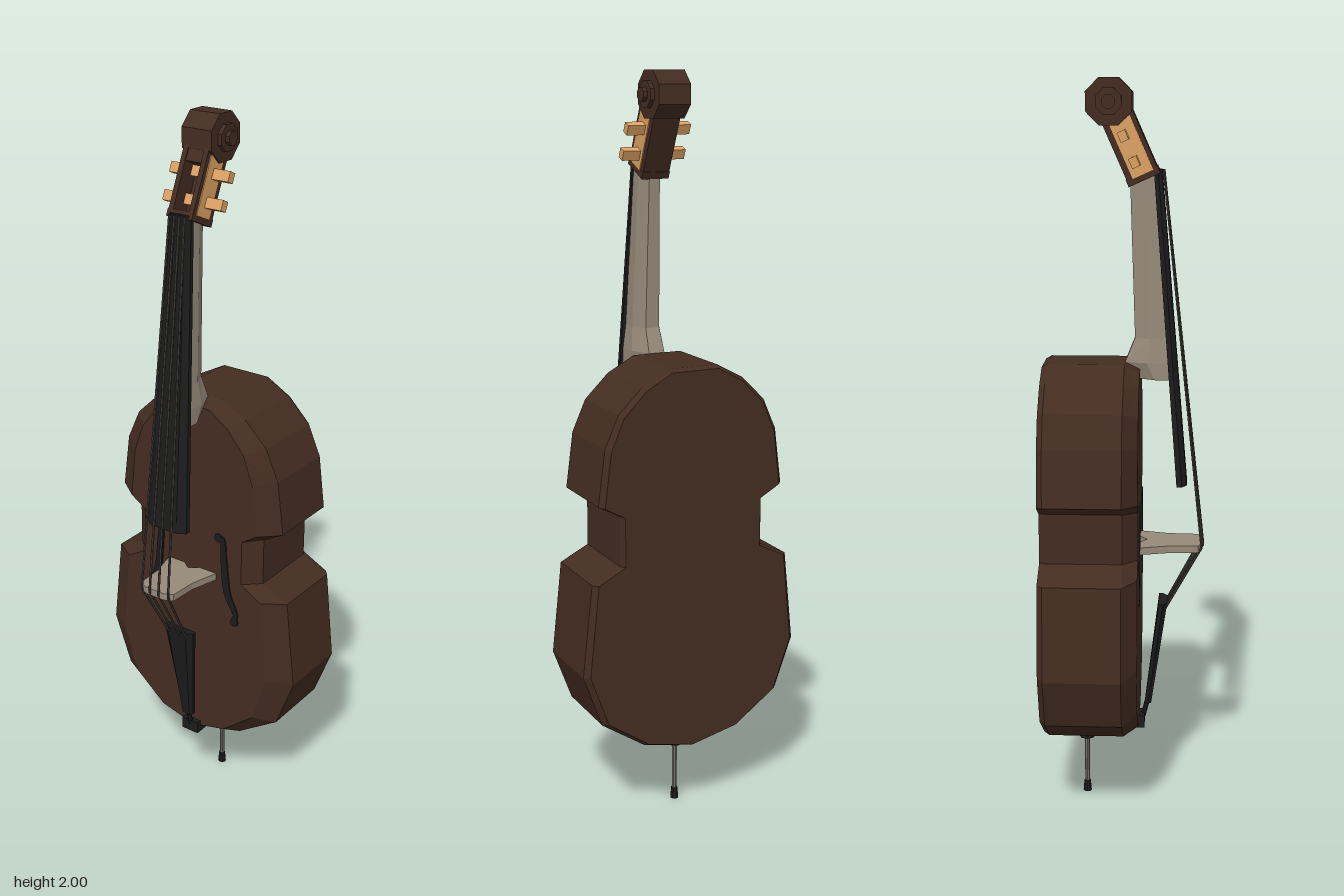
import * as THREE from 'three';

const mat = (name, color, extra = {}) =>
  Object.assign(new THREE.MeshStandardMaterial({ color, flatShading: true, ...extra }), { name });

export function createModel() {
  const root = new THREE.Group();
  root.name = 'doubleBass';
  const wood = mat('dark brown wood', 0x442c21);
  const ebony = mat('black ebony', 0x1c1c1c);
  const maple = mat('pale maple', 0x968a7a);
  const tan = mat('tan pegs', 0xdca263);
  const wire = mat('dark string', 0x46433d);
  const steel = mat('grey steel', 0x77736b);

  const add = (name, geo, m, x = 0, y = 0, z = 0, parent = root) => {
    const mesh = new THREE.Mesh(geo, m);
    mesh.name = name;
    mesh.position.set(x, y, z);
    parent.add(mesh);
    return mesh;
  };
  const box = (w, h, d) => new THREE.BoxGeometry(w, h, d);

  // Closed skin over counter-clockwise rings of [u, v, height], capped at both ends
  function loft(rings) {
    const n = rings[0].length, pos = [];
    const tri = (...p) => p.forEach(q => pos.push(...q));
    for (let i = 0; i + 1 < rings.length; i++) {
      for (let j = 0; j < n; j++) {
        const k = (j + 1) % n, a = rings[i], b = rings[i + 1];
        tri(a[j], a[k], b[k]);
        tri(a[j], b[k], b[j]);
      }
    }
    const last = rings[rings.length - 1];
    const faces = THREE.ShapeUtils.triangulateShape(rings[0].map(p => new THREE.Vector2(p[0], p[1])), []);
    for (const [a, b, c] of faces) {
      tri(rings[0][a], rings[0][c], rings[0][b]);
      tri(last[a], last[b], last[c]);
    }
    const g = new THREE.BufferGeometry();
    g.setAttribute('position', new THREE.Float32BufferAttribute(pos, 3));
    g.computeVertexNormals();
    return g;
  }
  // Same skin standing upright: v becomes -z and height becomes y
  const upright = rings => loft(rings).rotateX(-Math.PI / 2);

  // Thin round rod between two points
  function rod(name, a, b, r, m) {
    const p = new THREE.Vector3(...a), q = new THREE.Vector3(...b);
    const mesh = add(name, new THREE.CylinderGeometry(r, r, p.distanceTo(q), 6), m);
    mesh.position.copy(p).lerp(q, 0.5);
    mesh.quaternion.setFromUnitVectors(new THREE.Vector3(0, 1, 0), q.sub(p).normalize());
  }

  // Body: waisted outline with a wide front bevel and a narrow back bevel
  const side = [[0.14, 0.235], [0.265, 0.32], [0.318, 0.465], [0.29, 0.718], [0.21, 0.757],
    [0.21, 0.893], [0.27, 0.925], [0.25, 1.075], [0.212, 1.16], [0.145, 1.225], [0.07, 1.265]];
  const outline = [[0, 0.205], ...side, ...side.map(([x, y]) => [-x, y]).reverse()];
  const ring = (sx, sy, z) => outline.map(([x, y]) => [x * sx, 0.735 + (y - 0.735) * sy, z]);
  add('body', loft([ring(0.955, 0.985, -0.22), ring(1, 1, -0.205), ring(1, 1, 0), ring(0.785, 0.965, 0.04)]), wood);

  // Sound holes: flat curved ribbons with round ends
  const holePath = new THREE.CatmullRomCurve3([[0.088, 0.88], [0.102, 0.882], [0.108, 0.82], [0.122, 0.71],
    [0.15, 0.65], [0.14, 0.62]].map(([x, y]) => new THREE.Vector3(x, y, 0)));
  for (const s of [1, -1]) {
    const left = [], right = [];
    for (let i = 0; i <= 16; i++) {
      const t = i / 16, p = holePath.getPointAt(t), d = holePath.getTangentAt(t);
      const w = 0.006 + 0.005 * Math.sin(Math.PI * t);
      left.push(new THREE.Vector2(s * (p.x - d.y * w), p.y + d.x * w));
      right.unshift(new THREE.Vector2(s * (p.x + d.y * w), p.y - d.x * w));
    }
    const g = new THREE.ExtrudeGeometry(new THREE.Shape([...left, ...right]), { depth: 0.005, bevelEnabled: false });
    add('soundHole', g, ebony, 0, 0, 0.039);
    for (const [x, y] of [[0.09, 0.878], [0.145, 0.63]]) {
      add('soundHoleEnd', new THREE.CylinderGeometry(0.013, 0.013, 0.006, 8).rotateX(Math.PI / 2), ebony, s * x, y, 0.041);
    }
  }

  // Neck with a flared heel
  const neckRing = (y, w, zf, zb) => {
    const zm = zf + (zb - zf) * 0.5;
    return [[-w, -zf, y], [w, -zf, y], [w, -zm, y], [w * 0.5, -zb, y], [-w * 0.5, -zb, y], [-w, -zm, y]];
  };
  add('neck', upright([neckRing(1.22, 0.046, 0.12, 0.04), neckRing(1.265, 0.046, 0.116, 0),
    neckRing(1.33, 0.04, 0.11, 0.026), neckRing(1.755, 0.03, 0.08, 0.012)]), maple);

  // Fingerboard and tailpiece: tapered slabs with bevelled fronts
  const slabRing = (y, w, zf, t) => [[-w, t * 0.5 - zf, y], [-w * 0.65, -zf, y], [w * 0.65, -zf, y],
    [w, t * 0.5 - zf, y], [w, t - zf, y], [-w, t - zf, y]];
  add('fingerboard', upright([slabRing(0.93, 0.065, 0.168, 0.028), slabRing(1.77, 0.033, 0.096, 0.022)]), ebony);
  add('tailpiece', upright([slabRing(0.28, 0.018, 0.073, 0.018), slabRing(0.588, 0.049, 0.117, 0.024)]), ebony);
  add('saddle', box(0.055, 0.036, 0.055), ebony, 0, 0.228, 0.027);
  rod('tailWire', [0, 0.235, 0.05], [0, 0.3, 0.066], 0.007, ebony);

  // Bridge: upright plate with two feet and a curved crown
  const half = [[0.03, 0.038], [0.082, 0.038], [0.06, 0.12], [0.056, 0.2], [0.03, 0.212]];
  const bridge = new THREE.Shape([...half, ...half.map(([x, z]) => [-x, z]).reverse(), [0, 0.06]]
    .map(([x, z]) => new THREE.Vector2(x, z)));
  add('bridge', new THREE.ExtrudeGeometry(bridge, { depth: 0.02, bevelEnabled: false }).rotateX(Math.PI / 2),
    maple, 0, 0.763, 0);

  // Strings: nut to bridge to tailpiece
  for (const i of [-1.5, -0.5, 0.5, 1.5]) {
    const crown = [i * 0.03, 0.755, 0.216 - Math.abs(i) * 0.004];
    rod('string', [i * 0.015, 1.768, 0.1], crown, 0.0035, wire);
    rod('stringTail', crown, [i * 0.02, 0.575, 0.113], 0.0035, wire);
  }

  // Pegbox: open-fronted tilted box crossed by two pegs
  const head = new THREE.Group();
  head.name = 'pegbox';
  head.position.set(0, 1.825, 0.014);
  head.rotation.x = -0.42;
  root.add(head);
  for (const s of [1, -1]) {
    add('pegboxCheek', box(0.014, 0.175, 0.086), wood, s * 0.031, 0, 0, head);
    add('cheekPanel', box(0.004, 0.15, 0.058), tan, s * 0.039, 0, 0.002, head);
  }
  add('pegboxBack', box(0.05, 0.175, 0.03), wood, 0, 0, -0.028, head);
  add('nut', box(0.078, 0.02, 0.09), wood, 0, -0.08, 0, head);
  add('pegboxTop', box(0.05, 0.04, 0.08), wood, 0, 0.07, 0, head);
  for (const y of [-0.037, 0.034]) add('peg', box(0.18, 0.027, 0.022), tan, 0, y, -0.004, head);

  // Scroll: stacked octagonal drums
  for (const [r, w] of [[0.065, 0.09], [0.036, 0.112], [0.019, 0.136]]) {
    add('scroll', new THREE.CylinderGeometry(r, r, w, 8).rotateY(Math.PI / 8).rotateZ(Math.PI / 2), wood, 0, 1.94, -0.042);
  }

  // Endpin
  add('endpinCollar', new THREE.CylinderGeometry(0.026, 0.022, 0.045, 8), ebony, 0, 0.192, -0.11);
  add('endpinRod', new THREE.CylinderGeometry(0.007, 0.007, 0.16, 8), steel, 0, 0.1, -0.11);
  add('endpinTip', new THREE.CylinderGeometry(0.009, 0.012, 0.032, 8), ebony, 0, 0.016, -0.11);

  return root;
}
